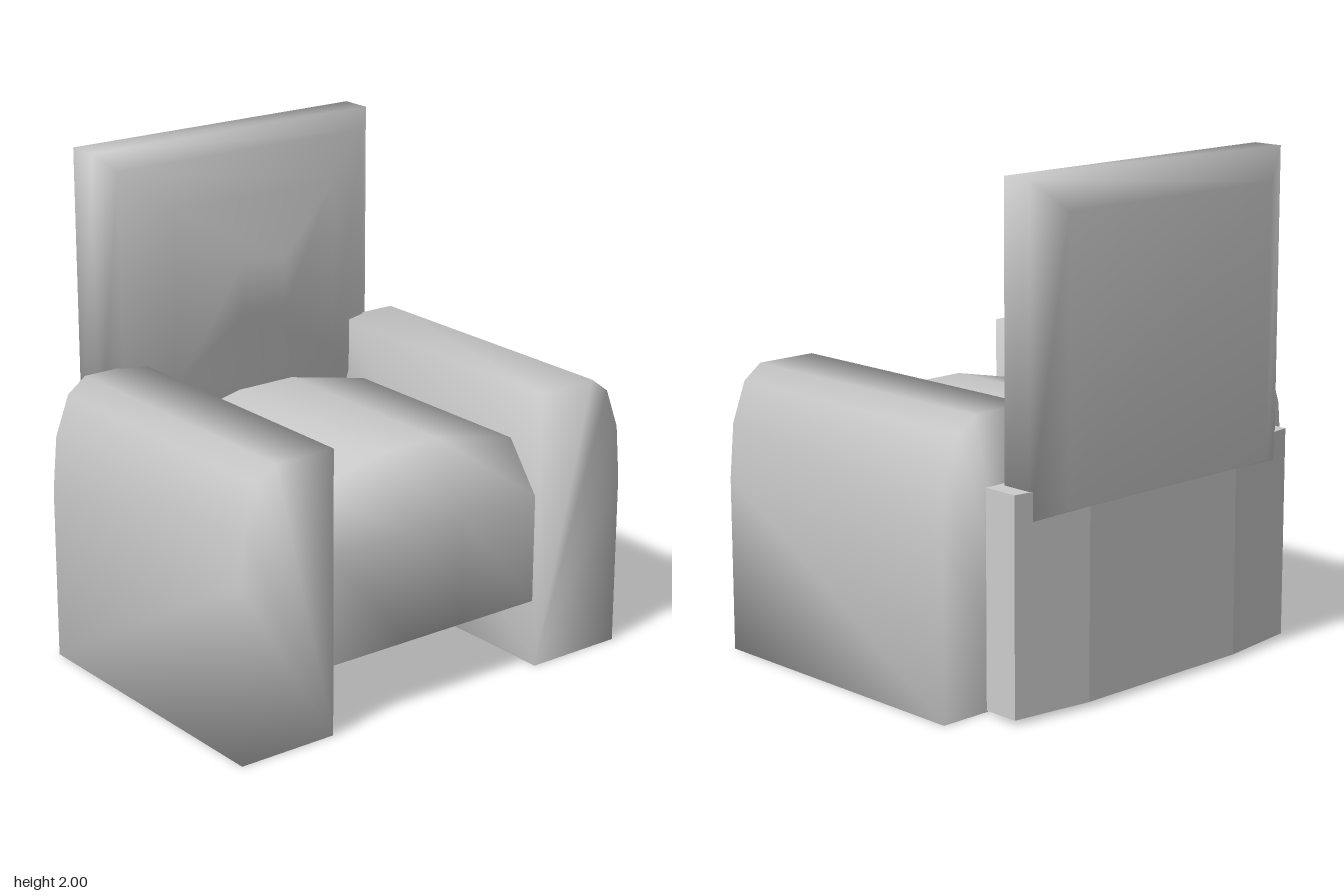
import * as THREE from 'three';

// Solid skinned over equal-length convex rings of [x, y, z] points, with capped ends
function loft(rings, smooth = true) {
  const n = rings[0].length;
  const points = rings.flat().map((p) => new THREE.Vector3(...p));
  const faces = [];
  for (let r = 0; r < rings.length - 1; r++) {
    for (let i = 0; i < n; i++) {
      const a = r * n + i, b = r * n + ((i + 1) % n);
      faces.push([a, b, b + n], [a, b + n, a + n]);
    }
  }
  const last = (rings.length - 1) * n;
  for (let i = 1; i < n - 1; i++) {
    faces.push([0, i + 1, i], [last, last + i, last + i + 1]);
  }
  // Turn every face outward, whichever way the rings run
  let volume = 0;
  for (const [a, b, c] of faces) {
    volume += points[a].dot(points[b].clone().cross(points[c]));
  }
  if (volume < 0) faces.forEach((f) => f.reverse());

  let geometry = new THREE.BufferGeometry().setFromPoints(points);
  geometry.setIndex(faces.flat());
  if (!smooth) geometry = geometry.toNonIndexed();
  geometry.computeVertexNormals();
  return geometry;
}

export function createModel() {
  const group = new THREE.Group();
  const upholstery = new THREE.MeshStandardMaterial({ color: 0xcccccc });
  upholstery.name = 'grey upholstery';

  const add = (name, geometry) => {
    const mesh = new THREE.Mesh(geometry, upholstery);
    mesh.name = name;
    group.add(mesh);
  };

  // Armrests: rounded outer shoulder, running front to back along x
  const armProfile = [
    [0.505, 0], [0.925, 0], [0.925, 0.7], [0.905, 0.92],
    [0.845, 1.08], [0.765, 1.14], [0.505, 1.14],
  ];
  for (const side of [1, -1]) {
    const ring = (x) => armProfile.map(([z, y]) => [x, y, z * side]);
    add(side > 0 ? 'leftArmrest' : 'rightArmrest', loft([ring(-0.495), ring(0.745)]));
  }

  // Seat cushion: bevelled front and back, crowned across the middle
  const seatRings = [[-0.505, 0.91], [-0.13, 0.99], [0.13, 0.99], [0.505, 0.91]].map(([z, top]) => [
    [0.72, 0.27, z], [0.72, 0.71, z], [0.57, top, z],
    [-0.35, top, z], [-0.5, 0.71, z], [-0.5, 0.27, z],
  ]);
  add('seatCushion', loft(seatRings));

  // Back cushion: rectangles [x, bottom, top, half width] swelling to the front
  const backRings = [
    [-0.75, 0.79, 1.88, 0.54],
    [-0.68, 0.755, 2, 0.67],
    [-0.55, 0.755, 2, 0.67],
    [-0.48, 0.83, 1.93, 0.6],
    [-0.41, 1.04, 1.76, 0.39],
    [-0.355, 1.3, 1.5, 0.11],
  ].map(([x, low, high, w]) => [[x, low, -w], [x, low, w], [x, high, w], [x, high, -w]]);
  add('backCushion', loft(backRings));

  // Back panel: flat board with its rear corners cut away
  const panelPlan = [
    [-0.525, -0.74], [-0.525, 0.74], [-0.675, 0.74],
    [-0.72, 0.4], [-0.72, -0.4], [-0.675, -0.74],
  ];
  const panelRing = (y) => panelPlan.map(([x, z]) => [x, y, z]);
  add('backPanel', loft([panelRing(0.02), panelRing(0.87)], false));

  return group;
}
